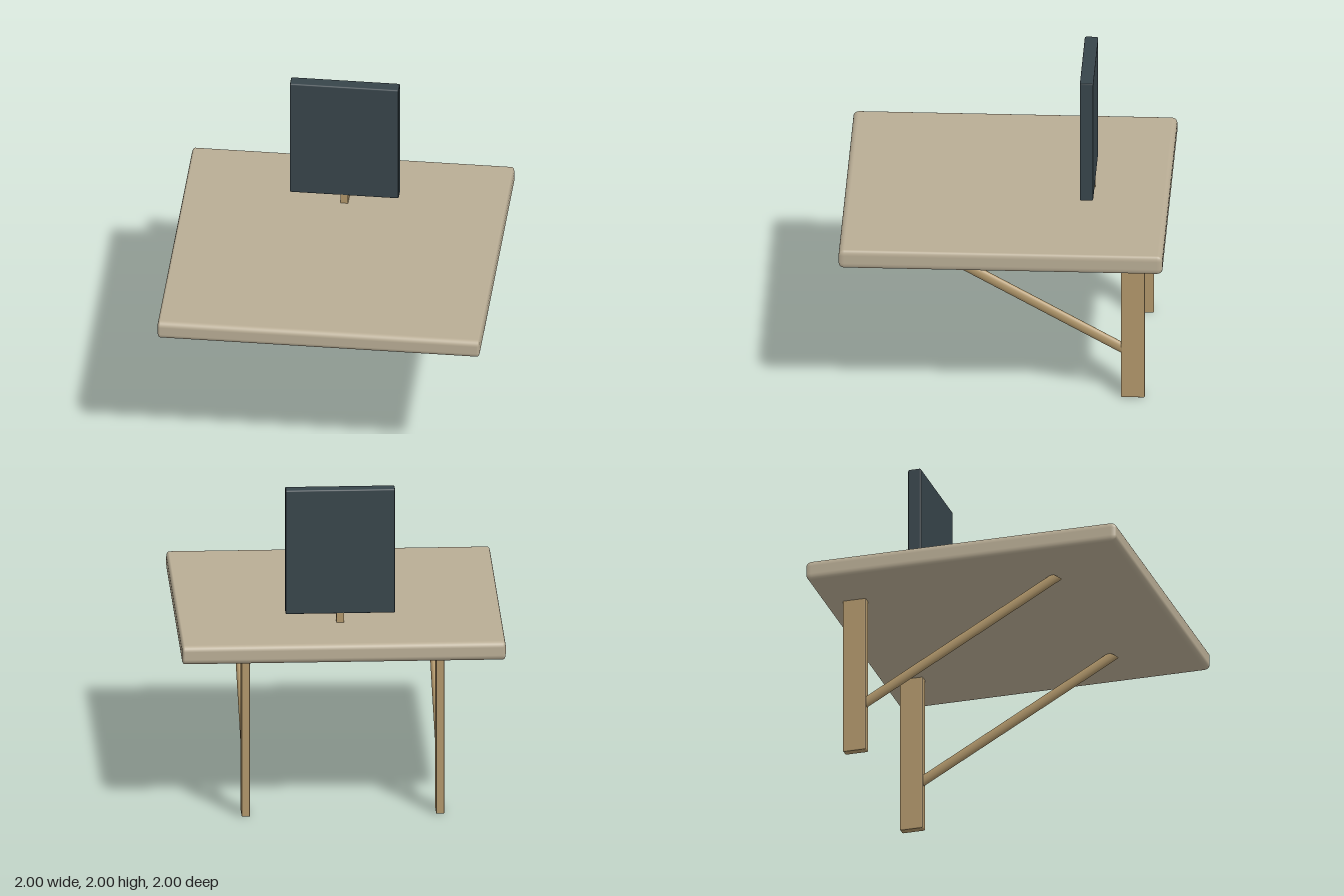
import * as THREE from 'three';
import { RoundedBoxGeometry } from 'three/addons/geometries/RoundedBoxGeometry.js';

const material = (color) => new THREE.MeshStandardMaterial({ color });

// Box with softened edges; the rounding is half as wide along x as along y and z.
function softBox(name, [w, h, d], radius, [x, y, z], mat) {
  const geometry = new RoundedBoxGeometry(w * 2, h, d, 3, radius);
  geometry.scale(0.5, 1, 1);
  const mesh = new THREE.Mesh(geometry, mat);
  mesh.name = name;
  mesh.position.set(x, y, z);
  return mesh;
}

// Oval bar with slanted ends, rising from inside the leg to the underside of the top.
function braceBar(name, x, mat) {
  const bottom = new THREE.Vector3(x, 0.29, -0.8);
  const top = new THREE.Vector3(x, 1.014, 0.497);
  const matrix = new THREE.Matrix4().makeBasis(
    new THREE.Vector3(0.02, 0, 0),
    top.clone().sub(bottom),
    new THREE.Vector3(0, -0.0195, 0.0325),
  );
  matrix.setPosition(top.clone().add(bottom).multiplyScalar(0.5));
  const geometry = new THREE.CylinderGeometry(1, 1, 1, 20);
  geometry.applyMatrix4(matrix);
  const mesh = new THREE.Mesh(geometry, mat);
  mesh.name = name;
  return mesh;
}

export function createModel() {
  const model = new THREE.Group();
  model.name = 'deskWithScreen';
  const topMat = material(0xb8ac94);
  const woodMat = material(0xb0966a);
  const screenMat = material(0x37444a);

  // Table top
  model.add(softBox('tableTop', [2, 0.12, 2], 0.035, [0, 1.083, 0], topMat));

  // Rear legs, each with a diagonal brace
  for (const [side, x] of [['left', 0.6], ['right', -0.6]]) {
    model.add(softBox(`${side}Leg`, [0.052, 1.03, 0.147], 0.008, [x, 0.515, -0.8], woodMat));
    model.add(braceBar(`${side}Brace`, x, woodMat));
  }

  // Screen on a short stem
  model.add(softBox('screenStem', [0.048, 0.1, 0.08], 0.004, [0, 1.165, -0.5], woodMat));
  model.add(softBox('screen', [0.676, 0.8, 0.083], 0.01, [0, 1.6, -0.5], screenMat));

  return model;
}
